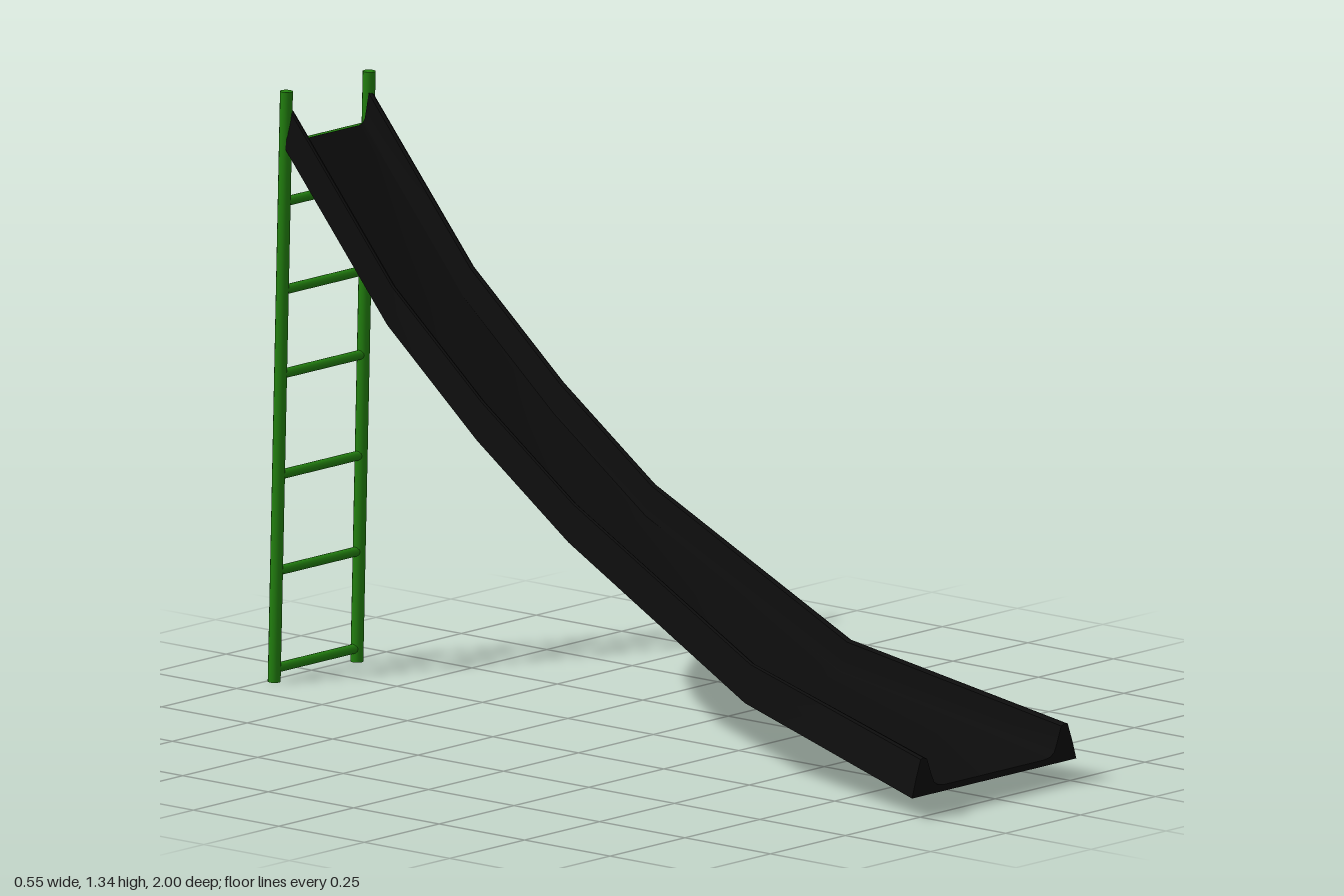
import * as THREE from 'three';
import { toCreasedNormals } from 'three/addons/utils/BufferGeometryUtils.js';

const black = new THREE.MeshStandardMaterial({ color: 0x0d0d0d });
const green = new THREE.MeshStandardMaterial({ color: 0x22800f });

// Stations along the chute, top to bottom: z, underside height, half width
const stations = [
  [-0.94, 1.207, 0.153], [-0.642, 0.855, 0.153], [-0.38, 0.633, 0.153],
  [-0.112, 0.442, 0.153], [0.435, 0.165, 0.188], [1, 0.046, 0.274],
];

// Half of the trough section, from the underside edge over the rim to the floor
const half = [
  [0.153, 0], [0.146, 0.04], [0.137, 0.083], [0.132, 0.086], [0.125, 0.081],
  [0.117, 0.045], [0.112, 0.026], [0.105, 0.017], [0.092, 0.014],
];

function createChute() {
  const mirrored = half.map(([x, y]) => [-x, y]).reverse();
  const section = new THREE.Shape([...half, ...mirrored].map(([x, y]) => new THREE.Vector2(x, y)));
  const steps = stations.length - 1;
  const geo = new THREE.ExtrudeGeometry(section, { depth: steps, steps, bevelEnabled: false });

  // Move each extrusion step onto its station and widen it
  const p = geo.attributes.position;
  for (let i = 0; i < p.count; i++) {
    const [z, y, w] = stations[Math.round(p.getZ(i))];
    p.setXYZ(i, p.getX(i) * w / 0.153 - 0.003, p.getY(i) + y, z);
  }
  const chute = new THREE.Mesh(toCreasedNormals(geo, 0.5), black);
  chute.name = 'chute';
  return chute;
}

// Round bar between two points
function bar(name, a, b, radius) {
  const from = new THREE.Vector3(...a), to = new THREE.Vector3(...b);
  const dir = to.clone().sub(from);
  const geo = new THREE.CylinderGeometry(radius, radius, dir.length(), 12);
  const mesh = new THREE.Mesh(geo, green);
  mesh.position.copy(from).add(to).multiplyScalar(0.5);
  mesh.quaternion.setFromUnitVectors(new THREE.Vector3(0, 1, 0), dir.normalize());
  mesh.name = name;
  return mesh;
}

function createLadder() {
  const ladder = new THREE.Group();
  ladder.name = 'ladder';
  const height = 1.335, left = 0.133, right = -0.143;
  const zAt = (y) => -0.984 + 0.036 * y / height;

  // Leaning side posts
  for (const [name, x] of [['leftPost', left], ['rightPost', right]]) {
    ladder.add(bar(name, [x, 0, zAt(0)], [x, height, zAt(height)], 0.0145));
  }
  // Rungs
  [0.03, 0.25, 0.467, 0.695, 0.885, 1.085, 1.21].forEach((y, i) => {
    ladder.add(bar(`rung${i + 1}`, [right, y, zAt(y)], [left, y, zAt(y)], 0.011));
  });
  return ladder;
}

export function createModel() {
  const model = new THREE.Group();
  model.name = 'slide';
  model.add(createChute(), createLadder());
  return model;
}
